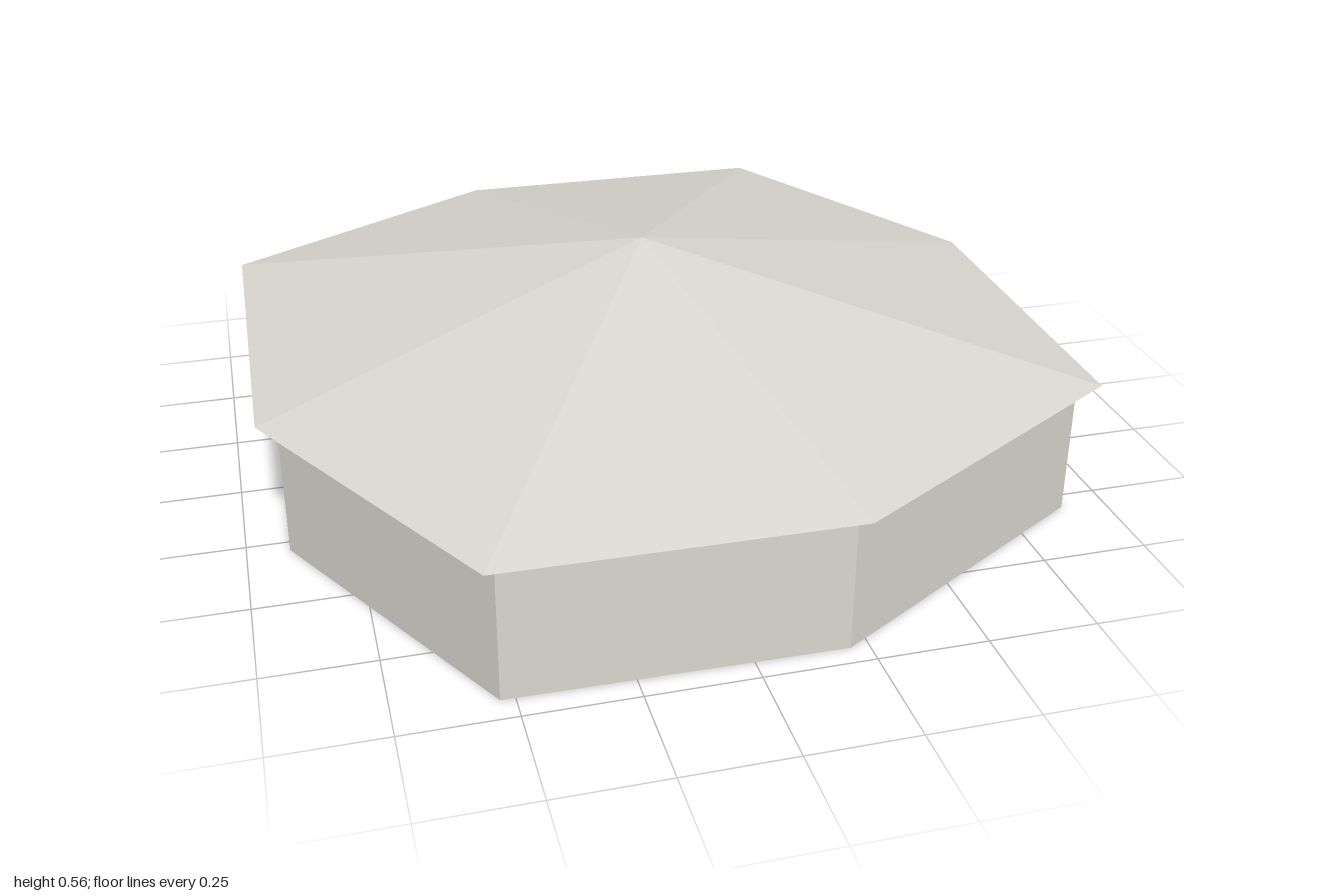
import * as THREE from 'three';

// Irregular octagonal footprint of the eaves, as [x, z]
const EAVES = [
  [-0.25, -1], [0.56, -0.99], [0.95, -0.29], [0.94, 0.58],
  [0.22, 1], [-0.56, 0.99], [-0.95, 0.3], [-0.94, -0.61],
];
const WALL_HEIGHT = 0.335;
const APEX_HEIGHT = 0.565;
const WALL_SCALE = 0.95;

// Fan of triangles from a centre point at the given height to the eaves
function fan(height, facingUp) {
  const positions = [];
  EAVES.forEach((a, i) => {
    const b = EAVES[(i + 1) % EAVES.length];
    const [p, q] = facingUp ? [b, a] : [a, b];
    positions.push(0, height, 0, p[0], WALL_HEIGHT, p[1], q[0], WALL_HEIGHT, q[1]);
  });
  const geometry = new THREE.BufferGeometry();
  geometry.setAttribute('position', new THREE.Float32BufferAttribute(positions, 3));
  geometry.computeVertexNormals();
  return geometry;
}

export function createModel() {
  const group = new THREE.Group();
  group.name = 'pavilion';
  const stone = new THREE.MeshStandardMaterial({ name: 'paleStone', color: 0xd8d6ce, flatShading: true });

  const add = (name, geometry) => {
    const mesh = new THREE.Mesh(geometry, stone);
    mesh.name = name;
    group.add(mesh);
  };

  // Walls: the footprint drawn in slightly and extruded upwards
  const outline = new THREE.Shape(
    EAVES.map(([x, z]) => new THREE.Vector2(x * WALL_SCALE, -z * WALL_SCALE)));
  const walls = new THREE.ExtrudeGeometry(outline, { depth: WALL_HEIGHT, bevelEnabled: false });
  walls.rotateX(-Math.PI / 2);
  add('walls', walls);

  // Shallow pointed roof with a flat overhanging underside
  add('roof', fan(APEX_HEIGHT, true));
  add('roofUnderside', fan(WALL_HEIGHT, false));

  return group;
}
